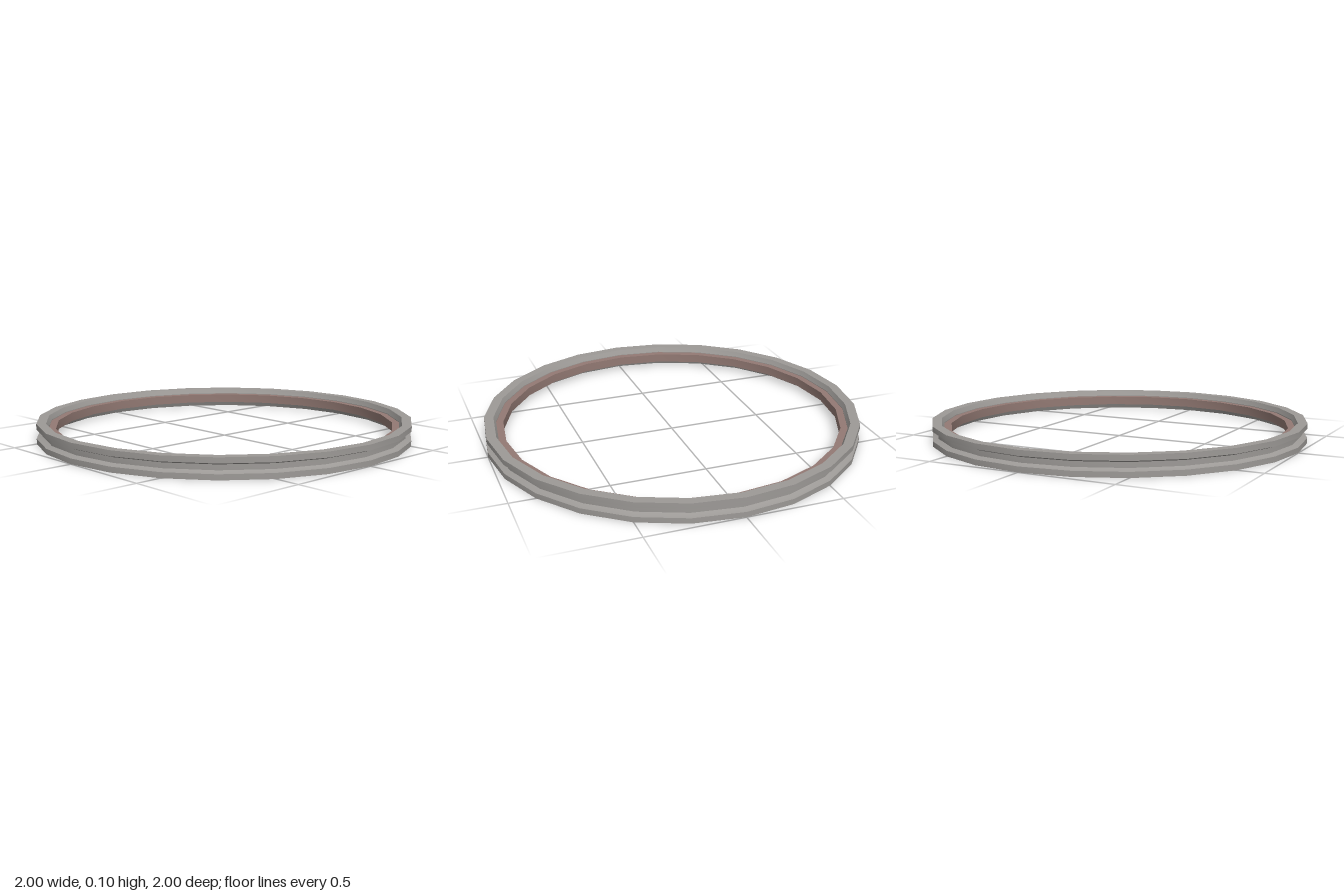
import * as THREE from 'three';
import { toCreasedNormals } from 'three/addons/utils/BufferGeometryUtils.js';

const SIDES = 24;

// Revolve a closed [radius, height] section, keeping its edges sharp
function ring(name, section, material) {
  const points = [...section, section[0]].map(([r, y]) => new THREE.Vector2(r, y));
  const geometry = toCreasedNormals(new THREE.LatheGeometry(points, SIDES), 0.4);
  const mesh = new THREE.Mesh(geometry, material);
  mesh.name = name;
  return mesh;
}

export function createModel() {
  const metal = new THREE.MeshStandardMaterial({ color: 0x9d9a97 });
  metal.name = 'grey metal';
  const lining = new THREE.MeshStandardMaterial({ color: 0x937a74 });
  lining.name = 'brown lining';

  const model = new THREE.Group();
  model.name = 'groovedRing';

  // Outer band: two flanges with a groove between them, bevelled inside
  model.add(ring('outerBand', [
    [0.95, 0], [1, 0], [1, 0.028],
    [0.985, 0.031], [0.97, 0.039],
    [0.97, 0.066], [0.985, 0.074],
    [1, 0.077], [1, 0.105], [0.95, 0.105],
    [0.938, 0.079], [0.938, 0.026],
  ], metal));

  // Inner lining: a narrower band set at mid height
  model.add(ring('innerLining', [
    [0.9, 0.029], [0.942, 0.029], [0.942, 0.076], [0.9, 0.076],
  ], lining));

  return model;
}
